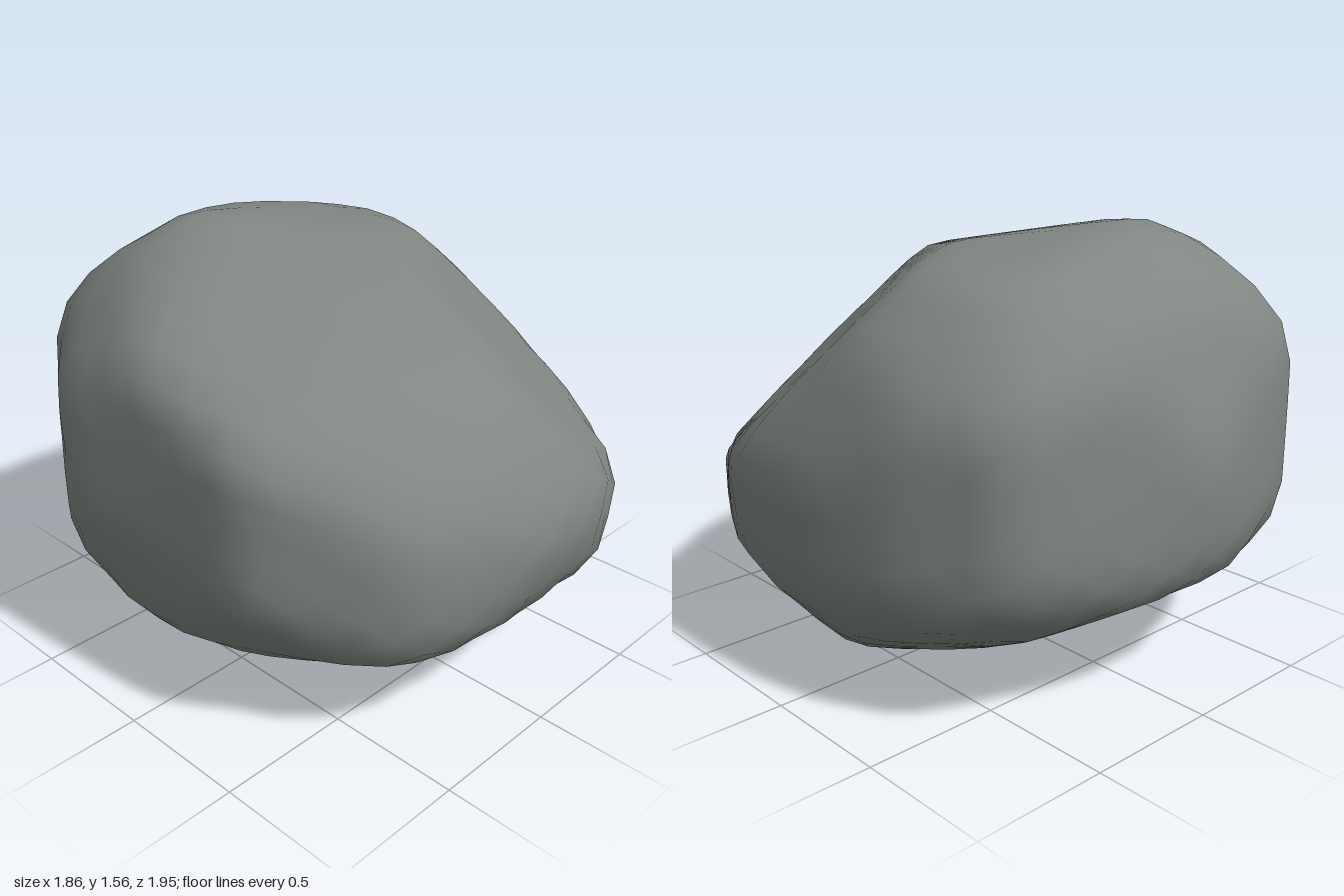
import * as THREE from 'three';
import { mergeVertices } from 'three/addons/utils/BufferGeometryUtils.js';

// Main contours of the boulder about its centre
const frontContour = [ // x, y
  [-.95, -.09], [-.87, .52], [-.63, .67], [-.25, .8], [.53, .65], [.76, .45], [.94, -.01],
  [.94, -.39], [.62, -.74], [.43, -.8], [.16, -.79], [-.28, -.63], [-.73, -.59], [-.84, -.46]];
const sideContour = [ // z, y
  [1, -.09], [.89, -.4], [.37, -.75], [.24, -.8], [-.22, -.74], [-.93, -.35], [-1, .04],
  [-.81, .55], [-.47, .8], [.38, .63], [.48, .48], [.82, .23]];
const topContour = [ // x, z
  [-.02, -1], [.14, -.92], [.68, -.79], [.86, -.44], [.94, -.1], [.93, .36], [.71, .78],
  [.32, .96], [.03, 1], [-.51, .86], [-.87, .44], [-.95, -.36], [-.61, -.84]];

// Worn faces: rings of flat cuts, given by elevation and distance from the centre
const cuts = [];
function ringOfCuts(elevation, distances) {
  distances.forEach((distance, i) => {
    const azimuth = (i + 0.5) * 2 * Math.PI / distances.length;
    const normal = new THREE.Vector3(Math.cos(azimuth), 0, Math.sin(azimuth))
      .multiplyScalar(Math.cos(elevation)).setY(Math.sin(elevation));
    cuts.push({ normal, distance });
  });
}
ringOfCuts(1.05, [.7, .76, .95, .92]);
ringOfCuts(.66, [.83, .79, .81, .98, .97, 1.04, .98, .93]);
ringOfCuts(-.66, [.99, 1.04, .98, .9, .97, .95, .93, .97]);
ringOfCuts(-1.05, [.95, .82, .82, .83]);
// Sloping front shoulder
cuts.push({ normal: new THREE.Vector3(.5, .707, .5), distance: .66 });

// One over the distance from the centre to a contour along (a, b)
function inverseReach(points, a, b) {
  let inverse = Infinity;
  points.forEach(([px, py], i) => {
    const [qx, qy] = points[(i + 1) % points.length];
    const ex = qx - px, ey = qy - py;
    const cross = a * ey - b * ex;
    const along = (px * b - py * a) / cross;
    const k = cross / (px * ey - py * ex);
    if (along > -1e-6 && along < 1 + 1e-6 && k > 0) inverse = Math.min(inverse, k);
  });
  return Number.isFinite(inverse) ? inverse : 0;
}

// The nearest limit sets the radius, with slightly rounded edges between limits
function stoneRadius(dir) {
  const limits = [
    inverseReach(frontContour, dir.x, dir.y),
    inverseReach(sideContour, dir.z, dir.y),
    inverseReach(topContour, dir.x, dir.z),
    ...cuts.map(({ normal, distance }) => Math.max(0, normal.dot(dir) / distance)),
  ];
  const sharpness = 50;
  return limits.reduce((sum, k) => sum + k ** sharpness, 0) ** (-1 / sharpness);
}

export function createModel() {
  const group = new THREE.Group();
  group.name = 'boulder';

  // Shared vertices give smooth normals
  const sphere = new THREE.IcosahedronGeometry(1, 8);
  sphere.deleteAttribute('uv');
  sphere.deleteAttribute('normal');
  const geometry = mergeVertices(sphere, 1e-4);

  const position = geometry.attributes.position;
  const p = new THREE.Vector3();
  for (let i = 0; i < position.count; i++) {
    p.fromBufferAttribute(position, i).normalize();
    p.multiplyScalar(stoneRadius(p));
    position.setXYZ(i, p.x, p.y, p.z);
  }
  geometry.computeVertexNormals();

  const stone = new THREE.MeshStandardMaterial({ color: 0x808782 });
  stone.name = 'grey stone';
  const rock = new THREE.Mesh(geometry, stone);
  rock.name = 'rock';
  rock.position.y = 0.79;
  group.add(rock);
  return group;
}
